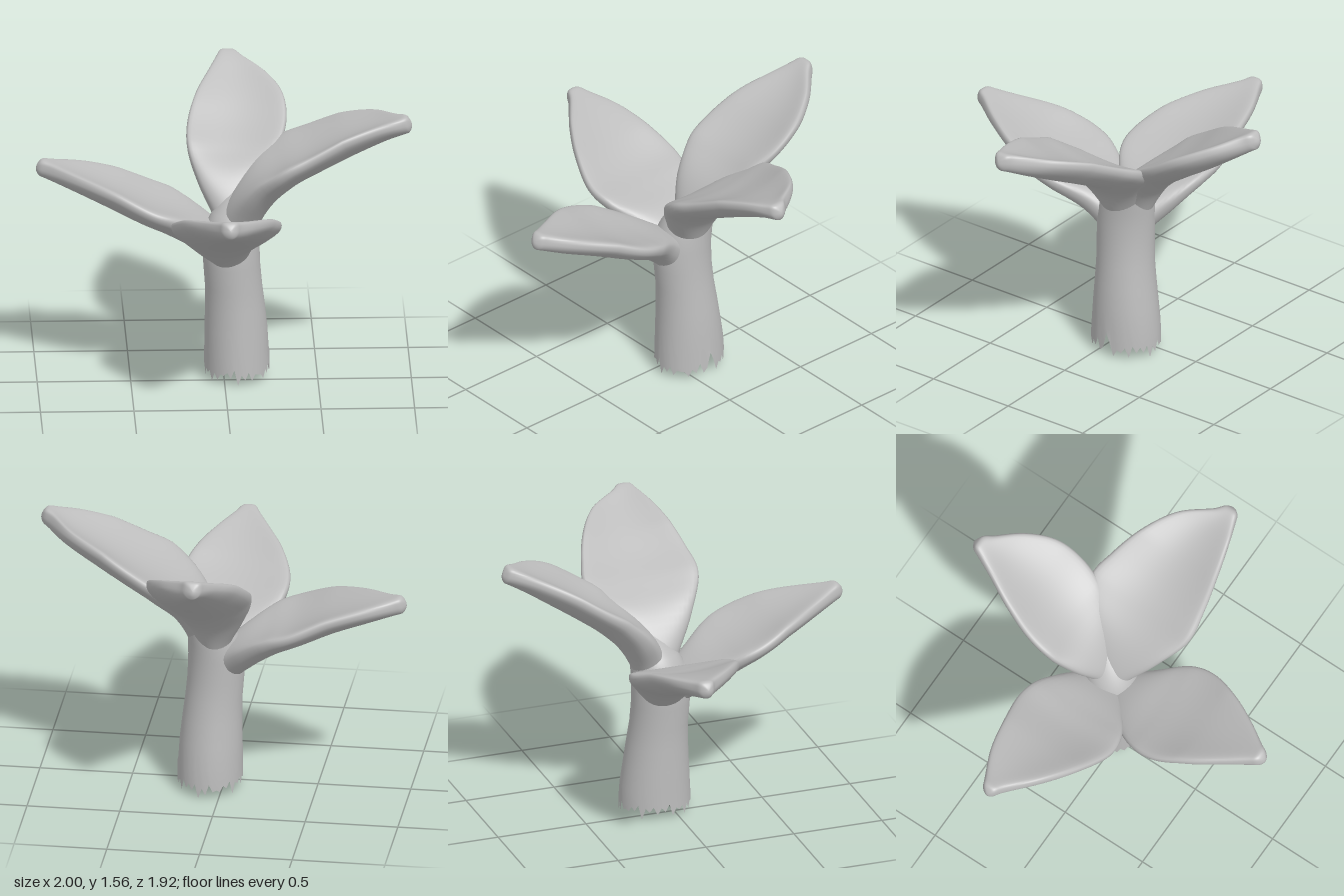
import * as THREE from 'three';

const leafGrey = new THREE.MeshStandardMaterial({ color: 0xbcbcbc, side: THREE.DoubleSide });
leafGrey.name = 'plain grey';

// Skin closed rings of points into one smooth surface
function loft(name, rings) {
  const n = rings[0].length, index = [];
  for (let i = 0; i < rings.length - 1; i++) {
    for (let j = 0; j < n; j++) {
      const k = (j + 1) % n, a = i * n + j, b = i * n + k;
      index.push(a, b, a + n, b, b + n, a + n);
    }
  }
  const geo = new THREE.BufferGeometry().setFromPoints(rings.flat());
  geo.setIndex(index);
  geo.computeVertexNormals();
  const mesh = new THREE.Mesh(geo, leafGrey);
  mesh.name = name;
  return mesh;
}

// Cupped leaf growing along +z; stations: [distance, height, side from, side to, half thickness]
function leaf(name, angle, cupDepth, stations) {
  const path = new THREE.CatmullRomCurve3(stations.map(s => new THREE.Vector3(s[4], s[1], s[0])));
  const sides = new THREE.CatmullRomCurve3(stations.map(s => new THREE.Vector3(s[2], s[3], 0)));
  path.curveType = sides.curveType = 'catmullrom';
  const rings = [], rows = 60, cols = 40;
  for (let i = 0; i <= rows; i++) {
    const v = i / rows, u = 1 - Math.pow(1 - v, 1.6);
    const c = path.getPoint(u), tan = path.getTangent(u), w = sides.getPoint(u);
    const len = Math.hypot(tan.y, tan.z);
    const ny = tan.z / len, nz = -tan.y / len;
    // Round off the tip
    const cap = Math.sqrt(Math.max(0, 1 - Math.max(0, (u - 0.9) / 0.1) ** 2));
    const half = (w.y - w.x) / 2 * cap, mid = (w.x + w.y) / 2;
    const cup = cupDepth * Math.min(1, half / 0.25) * Math.min(1, u * 2.5);
    // Round section at the base, flatter slab further out
    const flat = 1 - 0.3 * Math.min(1, u * 2.5);
    const ring = [];
    for (let j = 0; j < cols; j++) {
      const a = j / cols * Math.PI * 2, co = Math.cos(a), si = Math.sin(a);
      const h = c.x * cap * Math.sign(si) * Math.pow(Math.abs(si), flat) + cup * co * co;
      ring.push(new THREE.Vector3(mid + half * co, c.y + ny * h, c.z + nz * h));
    }
    rings.push(ring);
  }
  const mesh = loft(name, rings);
  mesh.rotation.y = angle;
  return mesh;
}

// Leaning open stem with a torn lower rim and a closed crown
function stem() {
  let seed = 7;
  const rand = () => (seed = (seed * 16807) % 2147483647) / 2147483647;
  const n = 56;
  const torn = Array.from({ length: n }, (_, j) => (j % 2 ? 0.045 + 0.05 * rand() : 0.055 * rand()));
  torn[0] = 0.14;
  torn[12] = 0;
  // height, centre x, centre z, radius x, radius z
  const levels = [
    [0.05, 0.07, -0.085, 0.175, 0.195], [0.16, 0.068, -0.085, 0.172, 0.19],
    [0.28, 0.065, -0.08, 0.168, 0.178], [0.4, 0.06, -0.075, 0.16, 0.167],
    [0.52, 0.052, -0.068, 0.153, 0.158], [0.64, 0.042, -0.062, 0.152, 0.158],
    [0.76, 0.038, -0.062, 0.152, 0.158], [0.85, 0.045, -0.075, 0.145, 0.15],
    [0.92, 0.065, -0.095, 0.125, 0.13], [0.98, 0.09, -0.12, 0.1, 0.1],
    [1.03, 0.11, -0.14, 0.06, 0.06], [1.045, 0.115, -0.145, 0, 0],
  ];
  return loft('stem', levels.map(([y, cx, cz, rx, rz], i) => torn.map((t, j) => {
    const a = j / n * Math.PI * 2;
    return new THREE.Vector3(cx + rx * Math.cos(a), i ? y : t, cz - rz * Math.sin(a));
  })));
}

export function createModel() {
  const group = new THREE.Group();
  group.name = 'sprout';
  group.add(stem());

  // Lower pair of leaves
  group.add(leaf('frontLeaf', 0, 0.065, [
    [-0.03, 0.52, -0.03, 0.12, 0.06], [0.0, 0.7, -0.08, 0.13, 0.095], [0.13, 0.81, -0.19, 0.17, 0.09],
    [0.3, 0.89, -0.28, 0.27, 0.07], [0.45, 0.955, -0.292, 0.292, 0.06], [0.62, 1.03, -0.23, 0.235, 0.058],
    [0.78, 1.095, -0.135, 0.145, 0.055], [0.9, 1.145, -0.06, 0.06, 0.05], [0.953, 1.163, -0.035, 0.035, 0.047],
  ]));
  group.add(leaf('rightLeaf', -Math.PI / 2, 0.065, [
    [-0.01, 0.52, -0.14, 0.0, 0.06], [0.01, 0.7, -0.18, 0.04, 0.095], [0.13, 0.81, -0.27, 0.1, 0.09],
    [0.28, 0.885, -0.35, 0.2, 0.07], [0.42, 0.94, -0.375, 0.222, 0.06], [0.6, 1.02, -0.345, 0.155, 0.058],
    [0.78, 1.09, -0.3, 0.035, 0.055], [0.94, 1.145, -0.225, -0.105, 0.05], [1.0, 1.16, -0.2, -0.13, 0.047],
  ]));

  // Upper pair of leaves
  group.add(leaf('leftLeaf', Math.PI / 2, 0.085, [
    [0.06, 0.68, -0.0, 0.14, 0.06], [0.08, 0.86, -0.04, 0.18, 0.1], [0.18, 1.03, -0.15, 0.27, 0.095],
    [0.34, 1.15, -0.25, 0.39, 0.07], [0.5, 1.23, -0.24, 0.36, 0.06], [0.68, 1.32, -0.205, 0.285, 0.058],
    [0.84, 1.395, -0.16, 0.17, 0.053], [0.95, 1.445, -0.12, 0.01, 0.05], [1.0, 1.46, -0.1, -0.03, 0.047],
  ]));
  group.add(leaf('backLeaf', Math.PI, 0.075, [
    [0.11, 0.68, -0.11, 0.03, 0.06], [0.13, 0.86, -0.13, 0.05, 0.09], [0.215, 1.02, -0.2, 0.13, 0.09],
    [0.35, 1.135, -0.3, 0.185, 0.07], [0.5, 1.235, -0.348, 0.182, 0.06], [0.66, 1.34, -0.335, 0.135, 0.058],
    [0.8, 1.43, -0.245, 0.065, 0.053], [0.91, 1.5, -0.12, 0.01, 0.05], [0.957, 1.52, -0.08, -0.01, 0.047],
  ]));
  return group;
}
